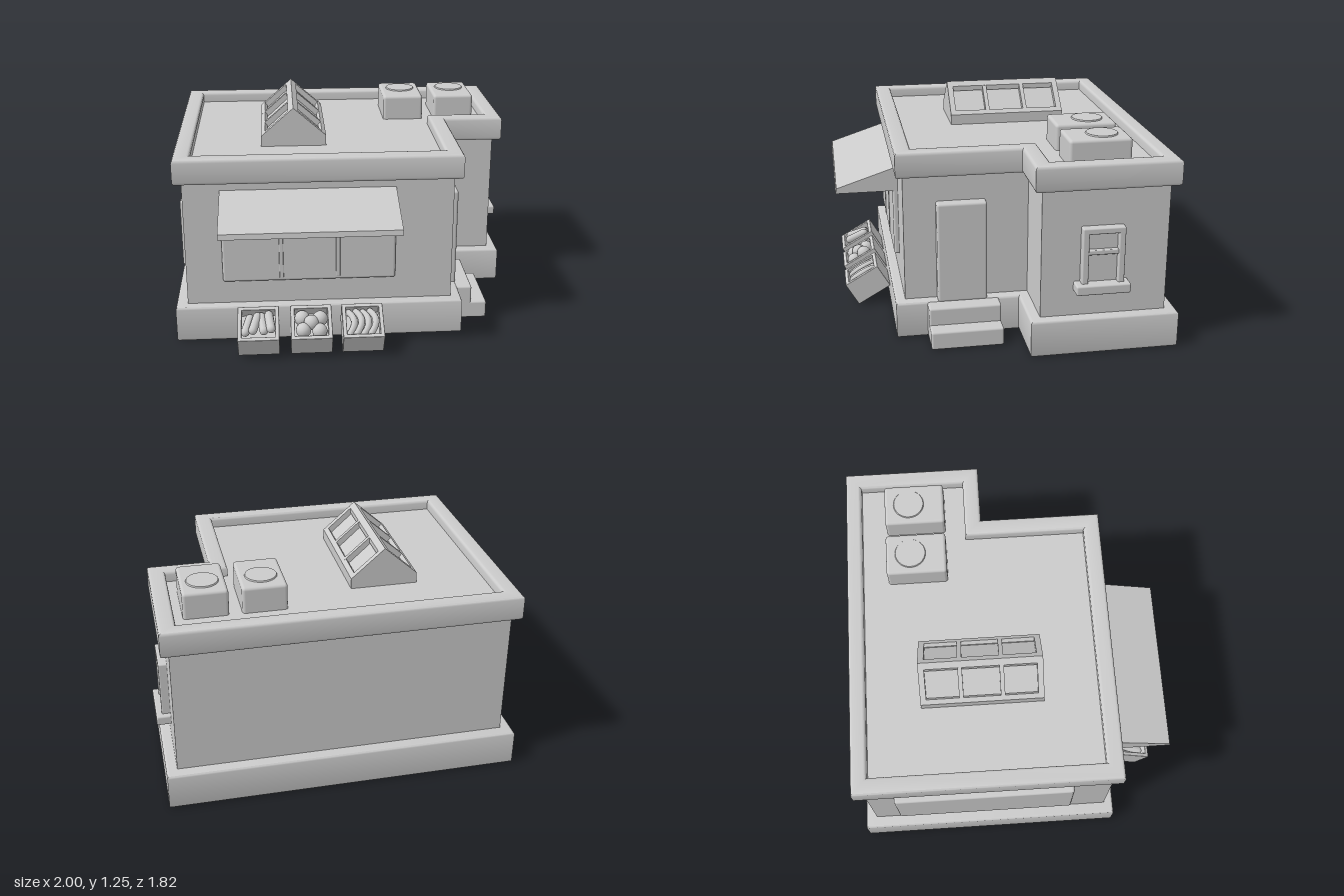
import * as THREE from 'three';
import { toCreasedNormals } from 'three/addons/utils/BufferGeometryUtils.js';
import { RoundedBoxGeometry } from 'three/addons/geometries/RoundedBoxGeometry.js';

const grey = new THREE.MeshStandardMaterial({ color: 0xcccccc });

function add(parent, name, geometry) {
  const mesh = new THREE.Mesh(geometry, grey);
  mesh.name = name;
  parent.add(mesh);
  return mesh;
}

// Softly rounded box given by its limits on each axis
function box(parent, name, [x0, x1], [y0, y1], [z0, z1], r = 0.012) {
  const mesh = add(parent, name, new RoundedBoxGeometry(x1 - x0, y1 - y0, z1 - z0, 2, r));
  mesh.position.set((x0 + x1) / 2, (y0 + y1) / 2, (z0 + z1) / 2);
  return mesh;
}

// L-shaped floor plan: a rectangle whose front right corner is cut away
function plan(x0, x1, z0, z1, notchX, notchZ) {
  return [[x0, z1], [notchX, z1], [notchX, notchZ], [x1, notchZ], [x1, z0], [x0, z0]]
    .map(([x, z]) => new THREE.Vector2(x, -z));
}

// Extrude a plan upwards from y0 to y1 with rounded top and bottom edges
function slab(parent, name, points, y0, y1, bevel, hole) {
  const shape = new THREE.Shape(points);
  if (hole) shape.holes.push(new THREE.Path(hole));
  const geo = new THREE.ExtrudeGeometry(shape, {
    depth: y1 - y0 - 2 * bevel, bevelEnabled: bevel > 0, bevelThickness: bevel,
    bevelSize: bevel, bevelOffset: -bevel, bevelSegments: 3,
  });
  geo.rotateX(-Math.PI / 2).translate(0, y0 + bevel, 0);
  return add(parent, name, toCreasedNormals(geo, 0.6));
}

// Plain extrusion of a front-facing outline between z0 and z1
function prism(parent, name, points, z0, z1) {
  const shape = new THREE.Shape(points.map(([x, y]) => new THREE.Vector2(x, y)));
  const geo = new THREE.ExtrudeGeometry(shape, { depth: z1 - z0, bevelEnabled: false });
  return add(parent, name, geo.translate(0, 0, z0));
}

function skylight() {
  const g = new THREE.Group();
  g.name = 'skylight';
  const gable = (w, top, eave) => [[-w, 0], [w, 0], [w, eave], [0, top], [-w, eave]];
  // Sunken glass, with ribs standing proud of it
  prism(g, 'skylightGlass', gable(0.165, 0.185, 0.035), -0.34, 0.34);
  for (const [z0, z1] of [[-0.343, -0.31], [-0.127, -0.103], [0.103, 0.127], [0.31, 0.343]]) {
    prism(g, 'skylightRib', gable(0.188, 0.225, 0.06), z0, z1);
  }
  prism(g, 'skylightRidge', [[-0.03, 0.17], [0.03, 0.17], [0.03, 0.199], [0, 0.225], [-0.03, 0.199]], -0.342, 0.342);
  for (const s of [-1, 1]) {
    const eave = [[0.15, 0], [0.188, 0], [0.188, 0.06], [0.165, 0.08], [0.15, 0.06]].map(([x, y]) => [s * x, y]);
    prism(g, 'skylightEave', eave, -0.342, 0.342);
  }
  g.position.set(-0.312, 1.02, -0.152);
  return g;
}

// Open crate leaning back on the base, with one kind of produce in it
function crate(x, kind) {
  const g = new THREE.Group();
  g.name = 'produceCrate';
  for (const s of [-1, 1]) {
    const cx = s * 0.1035, cz = s * 0.0995;
    box(g, 'crateSide', [cx - 0.0115, cx + 0.0115], [0, 0.15], [-0.111, 0.111], 0.004);
    box(g, 'crateEnd', [-0.1, 0.1], [0, 0.15], [cz - 0.0115, cz + 0.0115], 0.004);
  }
  box(g, 'crateFloor', [-0.1, 0.1], [0.002, 0.09], [-0.1, 0.1], 0.004);
  if (kind === 'loaf') {
    [-0.06, -0.018, 0.024, 0.064].forEach((px, i) => {
      const loaf = add(g, 'loaf', new THREE.CapsuleGeometry(0.025, 0.1, 4, 10));
      loaf.position.set(px, 0.125 + 0.012 * (i % 2) + 0.006 * i, -0.005);
      loaf.rotation.set(Math.PI / 2 - 0.15, 0, i < 2 ? 0.25 : -0.12);
    });
  } else if (kind === 'round') {
    for (const [px, py, pz] of [[-0.045, 0.13, 0.04], [0.045, 0.125, 0.045], [-0.05, 0.12, -0.045],
      [0.05, 0.135, -0.03], [0, 0.142, 0]]) {
      add(g, 'roundFruit', new THREE.SphereGeometry(0.043, 14, 10)).position.set(px, py, pz);
    }
  } else {
    [-0.065, -0.025, 0.015, 0.055].forEach((px, i) => {
      const curve = new THREE.QuadraticBezierCurve3(new THREE.Vector3(-0.012, 0, -0.07),
        new THREE.Vector3(0.045, 0.035, 0), new THREE.Vector3(-0.012, 0, 0.07));
      const fruit = add(g, 'curvedFruit', new THREE.TubeGeometry(curve, 10, 0.019, 8));
      fruit.position.set(px, 0.12 + 0.008 * (i % 2), 0);
      for (const z of [-0.07, 0.07]) {
        const tip = add(fruit, 'curvedFruitTip', new THREE.SphereGeometry(0.019, 8, 6));
        tip.position.set(-0.012, 0, z);
      }
    });
  }
  g.position.set(x, 0.058, 0.706);
  g.rotation.x = Math.PI / 6;
  return g;
}

export function createModel() {
  const model = new THREE.Group();
  model.name = 'cornerShop';

  // Main body
  slab(model, 'foundation', plan(-1, 0.98, -0.91, 0.61, 0.63, -0.085), 0, 0.21, 0.015);
  slab(model, 'walls', plan(-0.935, 0.92, -0.845, 0.555, 0.57, -0.145), 0.19, 0.96, 0);
  slab(model, 'parapet', plan(-0.98, 0.965, -0.89, 0.595, 0.615, -0.1), 0.935, 1.08, 0.018,
    plan(-0.885, 0.87, -0.8, 0.5, 0.52, -0.195));
  slab(model, 'roof', plan(-0.93, 0.91, -0.84, 0.54, 0.56, -0.15), 0.95, 1.02, 0);

  // Shop window and its awning
  box(model, 'shopWindow', [-0.73, 0.245], [0.35, 0.8], [0.54, 0.585], 0.015);
  for (const x of [-0.4, -0.08]) box(model, 'shopWindowDivider', [x - 0.012, x + 0.012], [0.37, 0.78], [0.57, 0.589], 0.004);
  const awning = prism(model, 'awning', [[0.54, 0.745], [0.91, 0.745], [0.905, 0.775], [0.54, 0.895]], 0, 0.975);
  awning.rotation.y = -Math.PI / 2;
  awning.position.x = 0.245;

  // Wide window on the left side
  box(model, 'leftWindow', [-0.97, -0.92], [0.35, 0.75], [-0.69, 0.34], 0.015);

  // Door and steps
  box(model, 'door', [0.55, 0.63], [0.2, 0.785], [0.095, 0.375], 0.015);
  box(model, 'upperStep', [0.6, 0.718], [0, 0.205], [0.03, 0.435]);
  box(model, 'lowerStep', [0.6, 0.81], [0, 0.105], [0.03, 0.435]);

  // Small sash window on the right side
  box(model, 'sashGlass', [0.9, 0.935], [0.4, 0.71], [-0.585, -0.37], 0.004);
  for (const z of [-0.378, -0.577]) box(model, 'sashPost', [0.9, 0.968], [0.4, 0.725], [z - 0.018, z + 0.018], 0.008);
  box(model, 'sashHead', [0.9, 0.968], [0.69, 0.725], [-0.595, -0.36], 0.008);
  box(model, 'sashRail', [0.9, 0.96], [0.57, 0.597], [-0.58, -0.375], 0.006);
  box(model, 'sashSill', [0.9, 1], [0.355, 0.41], [-0.625, -0.325], 0.01);

  // Roof equipment
  model.add(skylight());
  for (const x of [0.3825, 0.6975]) {
    box(model, 'coolingUnit', [x - 0.1225, x + 0.1225], [0.99, 1.168], [-0.655, -0.31], 0.018);
    add(model, 'coolingFan', new THREE.CylinderGeometry(0.085, 0.095, 0.02, 28)).position.set(x, 1.165, -0.515);
  }

  // Produce crates along the front
  model.add(crate(-0.535, 'loaf'), crate(-0.242, 'round'), crate(0.045, 'curved'));
  return model;
}
